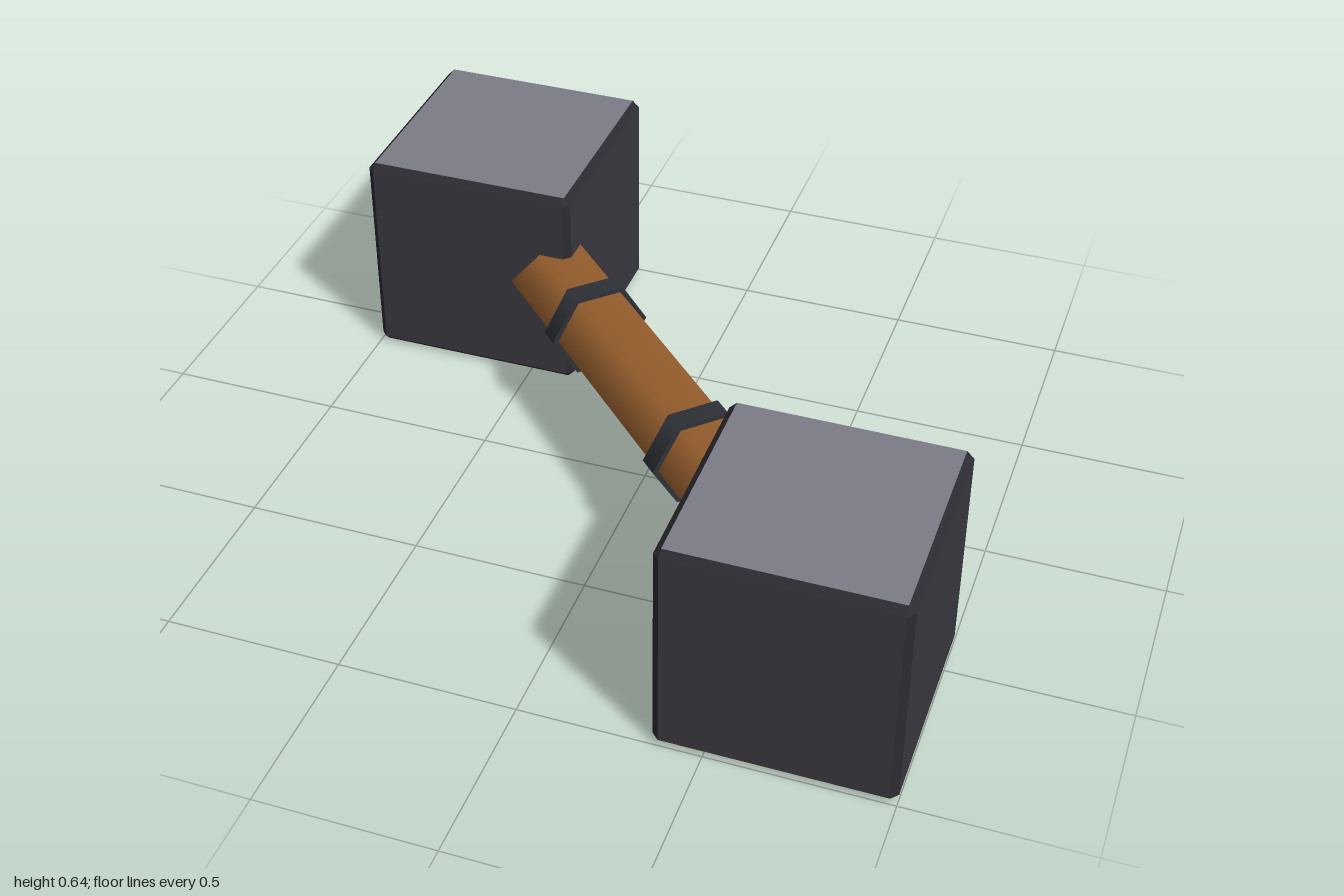
import * as THREE from 'three';
import { ConvexGeometry } from 'three/addons/geometries/ConvexGeometry.js';

const material = (name, color) => {
  const m = new THREE.MeshStandardMaterial({ color });
  m.name = name;
  return m;
};

// Cube with chamfered edges; groups: 0 = edges, 1 = sides, 2 = top and bottom
function chamferedCube(size, chamfer) {
  const h = size / 2, k = h - chamfer, points = [];
  for (const sx of [-1, 1]) for (const sy of [-1, 1]) for (const sz of [-1, 1]) {
    points.push(
      new THREE.Vector3(sx * h, sy * k, sz * k),
      new THREE.Vector3(sx * k, sy * h, sz * k),
      new THREE.Vector3(sx * k, sy * k, sz * h));
  }
  const geometry = new ConvexGeometry(points);
  const normal = geometry.attributes.normal;
  for (let i = 0; i < normal.count; i += 3) {
    const x = Math.abs(normal.getX(i)), y = Math.abs(normal.getY(i)), z = Math.abs(normal.getZ(i));
    geometry.addGroup(i, 3, y > 0.99 ? 2 : Math.max(x, z) > 0.99 ? 1 : 0);
  }
  return geometry;
}

export function createModel() {
  const edge = material('dark edge', 0x2b2b31);
  const side = material('charcoal side', 0x39383f);
  const cap = material('grey cap', 0x7a7c85);
  const wood = material('brown wood', 0x99602e);
  const band = material('black band', 0x2f3238);

  const model = new THREE.Group();
  model.name = 'doubleEndedHammer';
  const size = 0.638, centre = 1 - size / 2, axisY = 0.324;

  // Two cubes at opposite corners
  const cube = chamferedCube(size, 0.02);
  for (const s of [-1, 1]) {
    const block = new THREE.Mesh(cube, [edge, side, cap]);
    block.name = s < 0 ? 'backRightBlock' : 'frontLeftBlock';
    block.position.set(s * centre, size / 2, s * centre);
    model.add(block);
  }

  // Diagonal handle: hexagonal rod with two raised bands
  const handle = new THREE.Group();
  handle.name = 'handle';
  handle.position.y = axisY;
  handle.rotation.y = -Math.PI / 4;
  const addPrism = (name, radius, length, x, mat) => {
    const geometry = new THREE.CylinderGeometry(radius, radius, length, 6);
    const mesh = new THREE.Mesh(geometry.rotateZ(-Math.PI / 2), mat);
    mesh.name = name;
    mesh.position.x = x;
    handle.add(mesh);
  };
  addPrism('rod', 0.132, 1.7, 0, wood);
  addPrism('backBand', 0.149, 0.06, -0.33, band);
  addPrism('frontBand', 0.149, 0.06, 0.325, band);
  model.add(handle);

  return model;
}
